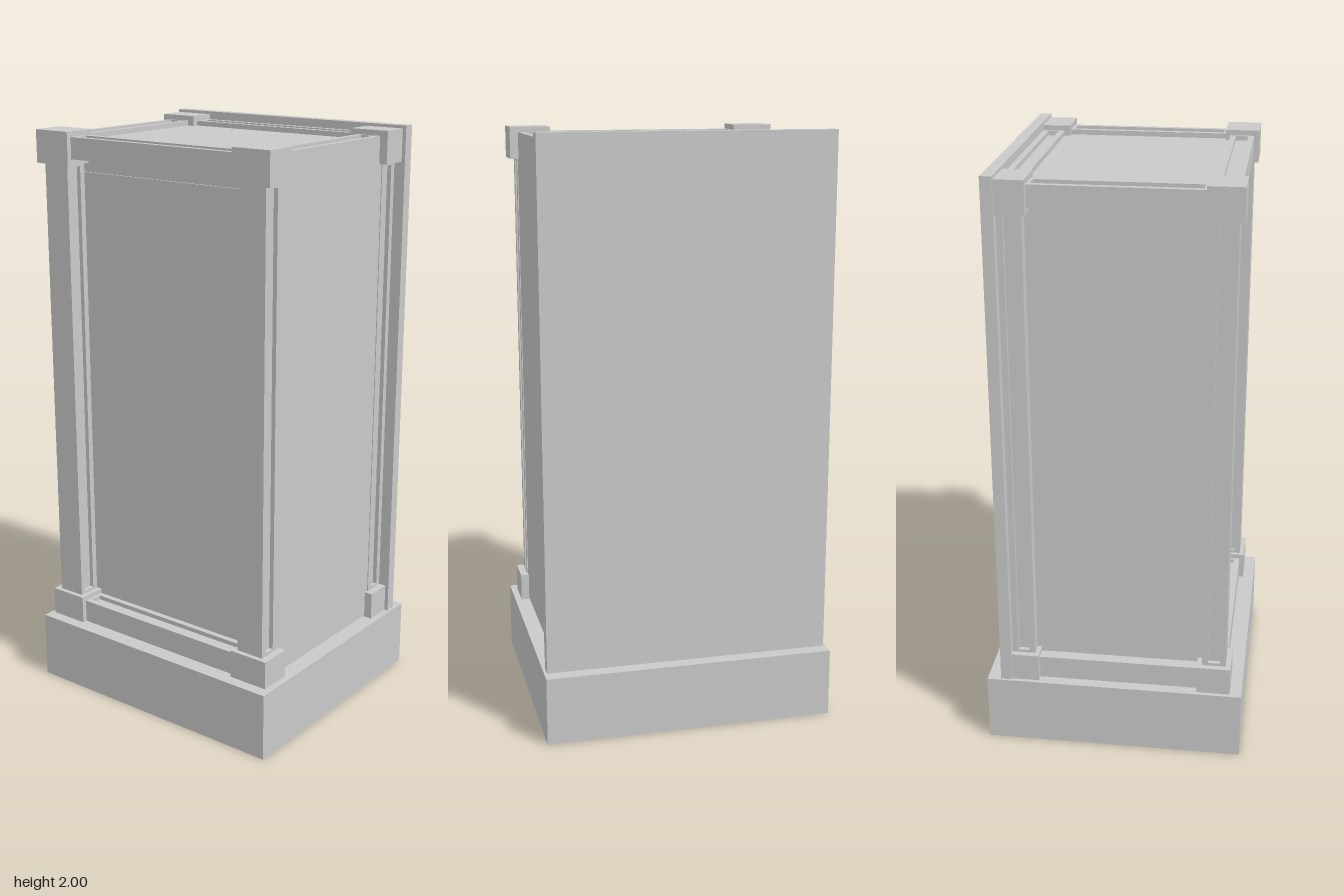
import * as THREE from 'three';

export function createModel() {
  const model = new THREE.Group();
  model.name = 'pedestal';
  const grey = new THREE.MeshStandardMaterial({ color: 0xcacaca });
  grey.name = 'stone grey';

  // Box given by its two extreme corners
  function block(name, min, max, parent = model) {
    const size = max.map((v, i) => v - min[i]);
    const mesh = new THREE.Mesh(new THREE.BoxGeometry(...size), grey);
    mesh.position.set(...min.map((v, i) => (v + max[i]) / 2));
    mesh.name = name;
    parent.add(mesh);
  }

  // Bar along one axis with a shallow closed groove on both faces of another axis.
  // The third axis carries the two lips beside the groove.
  function groovedBar(name, min, max, along, across, lip = 0.02, depth = 0.015, cap = 0.01) {
    const bar = new THREE.Group();
    bar.name = name;
    model.add(bar);
    const side = 3 - along - across;
    const part = (label, axis, lo, hi, inset) => {
      const a = [...min], b = [...max];
      a[axis] = lo;
      b[axis] = hi;
      if (inset) {
        a[across] += depth;
        b[across] -= depth;
      }
      block(label, a, b, bar);
    };
    part('grooveFloor', side, min[side] + lip, max[side] - lip, true);
    part('lip', side, min[side], min[side] + lip);
    part('lip', side, max[side] - lip, max[side]);
    for (const [lo, hi] of [[min[along], min[along] + cap], [max[along] - cap, max[along]]]) {
      const a = [...min], b = [...max];
      a[along] = lo;
      b[along] = hi;
      a[side] += lip;
      b[side] -= lip;
      block('grooveEnd', a, b, bar);
    }
  }

  // Plinth, back board and core
  block('base', [-0.495, 0, -0.44], [0.495, 0.235, 0.44]);
  block('backPanel', [-0.487, 0.235, -0.393], [0.485, 2, -0.355]);
  block('body', [-0.367, 0.235, -0.355], [0.355, 1.955, 0.3]);
  block('frontPanel', [-0.355, 0.35, 0.3], [0.347, 1.85, 0.306]);

  // Corner blocks and posts
  const columns = [
    { side: 'right', block: [-0.481, -0.341], post: [-0.46, -0.36] },
    { side: 'left', block: [0.33, 0.472], post: [0.345, 0.446] },
  ];
  const rows = [
    { end: 'Front', block: [0.285, 0.4], post: [0.302, 0.383] },
    { end: 'Back', block: [-0.355, -0.26], post: [-0.353, -0.275] },
  ];
  for (const c of columns) {
    for (const r of rows) {
      for (const [level, y0, y1] of [['Bottom', 0.235, 0.332], ['Top', 1.88, 1.99]]) {
        block(c.side + r.end + level + 'Block', [c.block[0], y0, r.block[0]], [c.block[1], y1, r.block[1]]);
      }
      groovedBar(c.side + r.end + 'Post', [c.post[0], 0.332, r.post[0]], [c.post[1], 1.88, r.post[1]], 1, 0);
    }
  }

  // Front and back rails between the corner blocks
  for (const [level, y0, y1] of [['Bottom', 0.235, 0.315], ['Top', 1.9, 1.972]]) {
    groovedBar('front' + level + 'Rail', [-0.341, y0, 0.3], [0.33, y1, 0.383], 0, 1);
    groovedBar('back' + level + 'Rail', [-0.341, y0, -0.355], [0.33, y1, -0.28], 0, 1);
  }

  // Left wall is flush with its rail; right wall is set back between two rails
  block('leftWall', [0.355, 0.24, -0.275], [0.443, 1.9, 0.302]);
  groovedBar('leftTopRail', [0.355, 1.9, -0.26], [0.443, 1.972, 0.285], 2, 1);
  block('rightWall', [-0.415, 0.24, -0.275], [-0.367, 1.9, 0.302]);
  groovedBar('rightTopRail', [-0.456, 1.9, -0.26], [-0.367, 1.972, 0.285], 2, 1);
  block('rightBottomRail', [-0.456, 0.235, -0.26], [-0.367, 0.315, 0.285]);

  return model;
}
